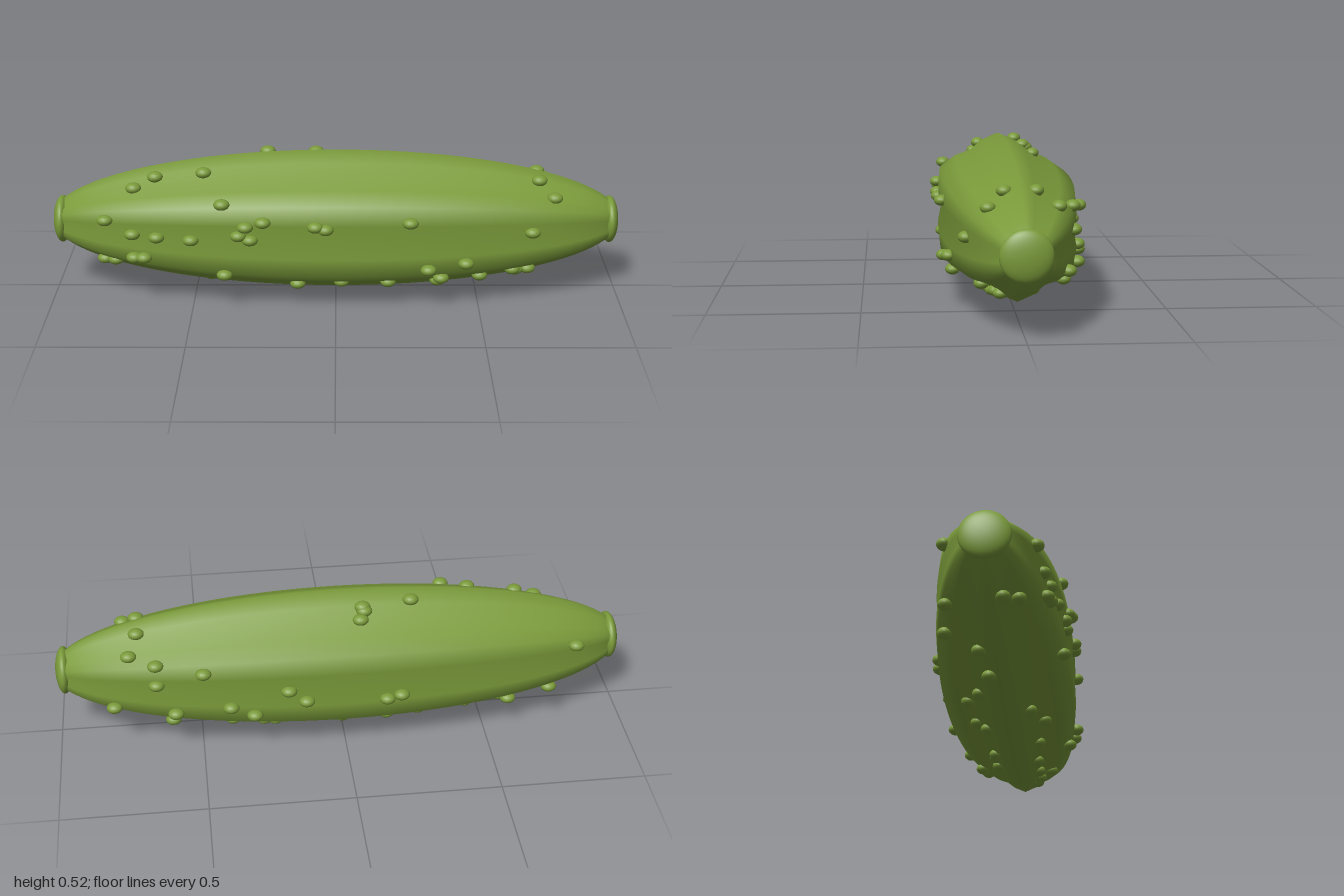
import * as THREE from 'three';
import { mergeVertices } from 'three/addons/utils/BufferGeometryUtils.js';

const CENTRE_Y = 0.26;

// Radius of the six-lobed pod at position x, angle a from the top ridge
const podRadius = (x, a) =>
  (0.24 + 0.02 * Math.cos(6 * a)) * Math.sqrt(Math.max(0, 1 - x * x * 0.982));

// Wart positions [x, y] on the front and back halves
const FRONT = [
  [-0.8, 0.31], [-0.705, 0.4], [-0.63, 0.435], [-0.46, 0.455], [-0.39, 0.39], [-0.705, 0.265],
  [-0.62, 0.26], [-0.5, 0.257], [-0.335, 0.28], [-0.31, 0.315], [-0.295, 0.265], [-0.25, 0.335],
  [-0.07, 0.32], [-0.035, 0.31], [0.255, 0.333], [0.71, 0.42], [0.76, 0.375], [0.68, 0.275],
  [-0.82, 0.13], [-0.775, 0.145], [-0.7, 0.185], [-0.665, 0.187], [-0.385, 0.135], [-0.135, 0.048],
  [0.02, 0.075], [0.185, 0.06], [0.32, 0.16], [0.365, 0.12], [0.36, 0.06], [0.45, 0.18],
  [0.51, 0.078], [0.62, 0.12], [0.635, 0.1], [0.68, 0.1],
];
const BACK = [
  [-0.24, 0.492], [-0.06, 0.455], [-0.075, 0.475], [-0.07, 0.485], [0.71, 0.42], [0.74, 0.375],
  [0.65, 0.365], [0.65, 0.29], [0.49, 0.345], [0.59, 0.18], [0.4, 0.205], [0.32, 0.175],
  [0.2, 0.26], [0.14, 0.22], [0.39, 0.055], [-0.14, 0.21], [-0.19, 0.22], [-0.15, 0.08],
  [-0.82, 0.315], [-0.58, 0.13], [-0.73, 0.155], [-0.57, 0.07], [0.8, 0.188], [0.6, 0.127],
  [0.28, 0.045], [0.24, 0.04], [0.01, 0.07], [0, 0.04], [-0.27, 0.055], [-0.45, 0.035],
];

function podGeometry() {
  const geo = new THREE.CylinderGeometry(1, 1, 2, 24, 48, true);
  const p = geo.attributes.position;
  for (let i = 0; i < p.count; i++) {
    const a = Math.atan2(p.getX(i), p.getZ(i));
    const x = 0.99 * Math.sin(p.getY(i) * Math.PI / 2);
    const r = podRadius(x, a);
    p.setXYZ(i, x, r * Math.cos(a), r * Math.sin(a));
  }
  geo.deleteAttribute('uv');
  geo.deleteAttribute('normal');
  const merged = mergeVertices(geo, 1e-5);
  merged.computeVertexNormals();
  return merged;
}

// Find the angle where the pod surface reaches height y at position x
function angleAt(x, y) {
  let lo = 0, hi = Math.PI;
  for (let i = 0; i < 30; i++) {
    const mid = (lo + hi) / 2;
    if (podRadius(x, mid) * Math.cos(mid) > y - CENTRE_Y) lo = mid; else hi = mid;
  }
  return lo;
}

export function createModel() {
  const model = new THREE.Group();
  model.name = 'ridgedPod';
  const green = new THREE.MeshStandardMaterial({ color: 0x7a9a3a });
  green.name = 'pod green';

  const body = new THREE.Mesh(podGeometry(), green);
  body.name = 'podBody';
  body.position.y = CENTRE_Y;
  model.add(body);

  // Rounded button on each end
  const capGeo = new THREE.SphereGeometry(1, 32, 20);
  for (const side of [-1, 1]) {
    const cap = new THREE.Mesh(capGeo, green);
    cap.name = side > 0 ? 'leftEndCap' : 'rightEndCap';
    cap.scale.set(0.03, 0.083, 0.083);
    cap.position.set(side * 0.97, CENTRE_Y, 0);
    model.add(cap);
  }

  // Small flattened warts sitting on the skin
  const warts = new THREE.Group();
  warts.name = 'warts';
  const wartGeo = new THREE.SphereGeometry(1, 16, 10);
  for (const [list, side] of [[FRONT, 1], [BACK, -1]]) {
    for (const [x, y] of list) {
      const a = angleAt(x, y);
      const r = podRadius(x, a) + 0.004;
      const wart = new THREE.Mesh(wartGeo, green);
      wart.name = 'wart';
      wart.scale.set(0.028, 0.019, 0.025);
      wart.position.set(x, CENTRE_Y + r * Math.cos(a), side * r * Math.sin(a));
      warts.add(wart);
    }
  }
  model.add(warts);
  return model;
}
